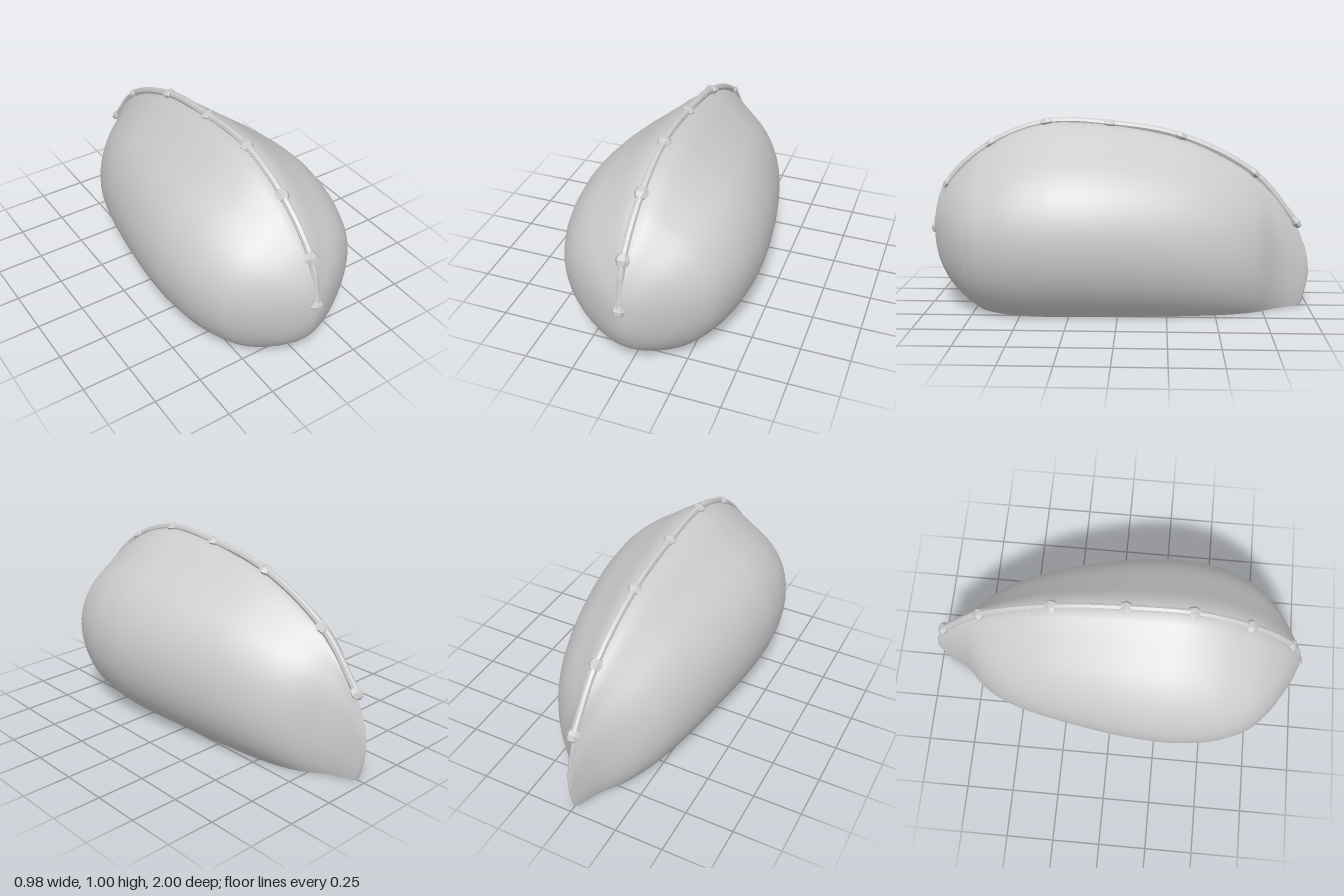
import * as THREE from 'three';

const grey = () => new THREE.MeshStandardMaterial({ color: 0xcccccc, side: THREE.DoubleSide });
const flat = new THREE.MeshStandardMaterial({ color: 0xcccccc, flatShading: true });

// Stations from back to front: z, half width, top, height of widest point, bottom
const stations = [
  [-1, 0, 0.19, 0.18, 0.17], [-0.985, 0.012, 0.29, 0.18, 0.09], [-0.96, 0.025, 0.36, 0.17, 0],
  [-0.92, 0.045, 0.45, 0.17, -0.04], [-0.86, 0.08, 0.54, 0.19, -0.06], [-0.8, 0.13, 0.605, 0.21, -0.07],
  [-0.7, 0.235, 0.695, 0.25, -0.075], [-0.55, 0.325, 0.79, 0.3, -0.08], [-0.32, 0.4, 0.89, 0.35, -0.08],
  [0, 0.465, 0.955, 0.39, -0.08], [0.25, 0.49, 0.975, 0.4, -0.08], [0.4, 0.485, 0.965, 0.4, -0.08],
  [0.55, 0.462, 0.92, 0.4, -0.07], [0.68, 0.415, 0.85, 0.4, -0.04], [0.76, 0.365, 0.795, 0.4, 0],
  [0.84, 0.28, 0.72, 0.4, 0.065], [0.9, 0.19, 0.65, 0.4, 0.13], [0.95, 0.1, 0.565, 0.4, 0.22],
  [0.975, 0.035, 0.49, 0.4, 0.31], [0.98, 0, 0.41, 0.4, 0.39],
];

// Open shell: rounded cross-sections with a pointed crest, cut off at the ground
function shellGeometry(rows = 76, cols = 40) {
  const columns = [1, 2, 3, 4].map(k =>
    new THREE.SplineCurve(stations.map(s => new THREE.Vector2(s[0], s[k]))));
  const positions = [], index = [];
  for (let i = 0; i <= rows; i++) {
    const points = columns.map(c => c.getPoint(i / rows));
    const z = points[0].x;
    const [w, top, mid, bottom] = points.map(p => p.y);
    const start = bottom < 0 ? -Math.asin(mid / (mid - bottom)) : -Math.PI / 2;
    for (let j = 0; j <= cols; j++) {
      const a = start + (Math.PI - 2 * start) * j / cols;
      const s = Math.sin(a);
      const y = s > 0
        ? mid + (top - mid) * (0.84 * s + 0.16 * s ** 20)
        : mid + (mid - bottom) * s;
      positions.push(Math.max(w, 0) * Math.cos(a), Math.max(y, 0), z);
      if (i < rows && j < cols) {
        const p = i * (cols + 1) + j, q = p + cols + 1;
        index.push(p, p + 1, q, q, p + 1, q + 1);
      }
    }
  }
  const g = new THREE.BufferGeometry();
  g.setAttribute('position', new THREE.Float32BufferAttribute(positions, 3));
  g.setIndex(index);
  g.computeVertexNormals();
  return g;
}

export function createModel() {
  const model = new THREE.Group();
  const add = (name, geometry, material) => {
    const mesh = new THREE.Mesh(geometry, material);
    mesh.name = name;
    model.add(mesh);
    return mesh;
  };

  add('shell', shellGeometry(), grey());

  // Ridge rod running over the crest from front to back
  const knots = [[0.975, 0.415], [0.905, 0.65], [0.67, 0.86], [0.38, 0.97],
    [0.05, 0.963], [-0.32, 0.9], [-0.7, 0.71], [-0.925, 0.45]]
    .map(([z, y]) => new THREE.Vector3(0, y, z));
  const ridge = new THREE.CatmullRomCurve3(knots);
  add('ridgeRod', new THREE.TubeGeometry(ridge, 42, 0.019, 8), flat);

  // Faceted beads, slightly flattened against the shell
  knots.forEach((p, i) => {
    const bead = add('ridgeBead', new THREE.SphereGeometry(0.037, 6, 4), flat);
    const t = ridge.getTangent(i / (knots.length - 1));
    bead.position.copy(p);
    bead.rotation.x = Math.atan2(t.z, t.y);
    bead.scale.z = 0.7;
  });
  return model;
}
